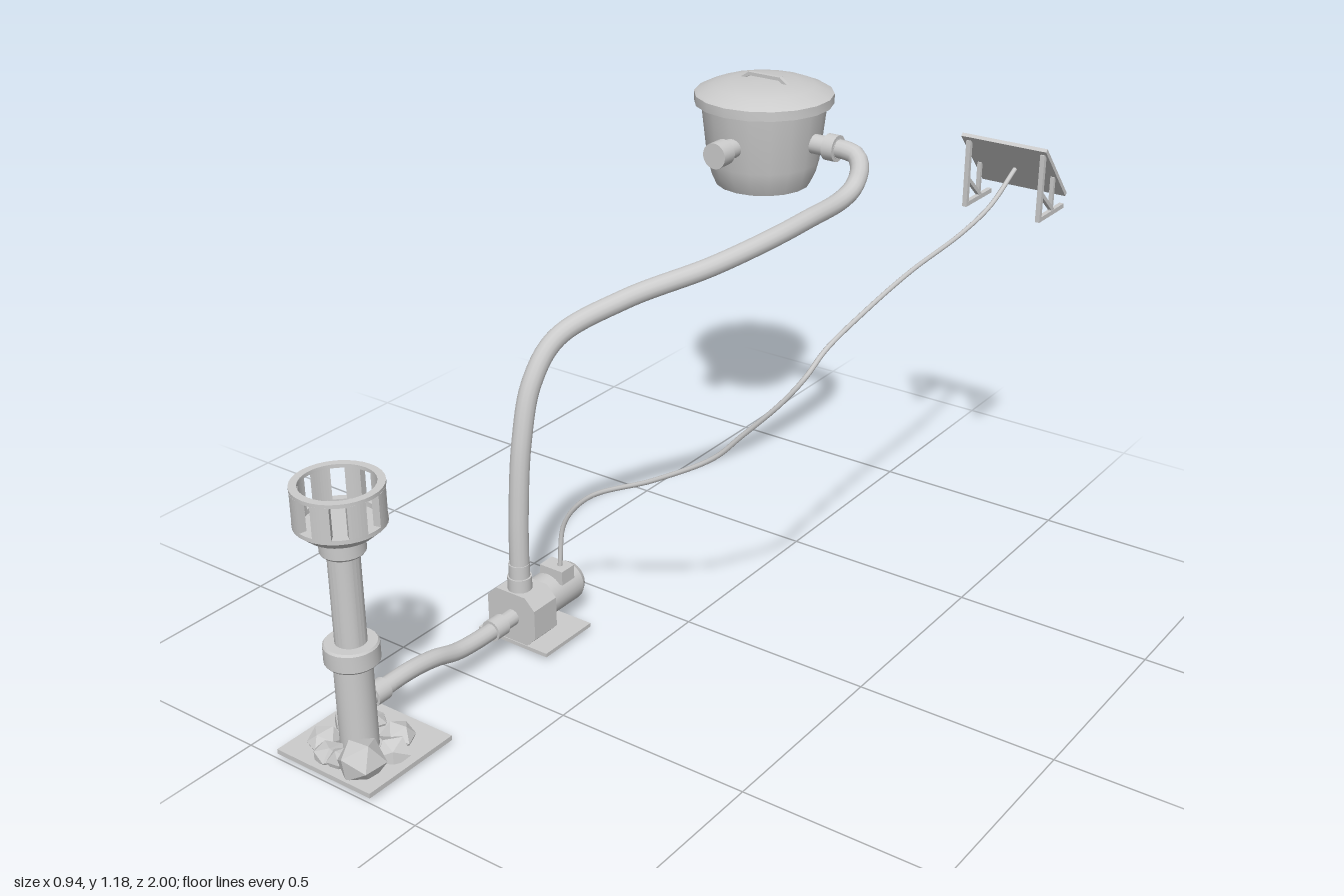
import * as THREE from 'three';
import { toCreasedNormals } from 'three/addons/utils/BufferGeometryUtils.js';

const V = (x, y, z) => new THREE.Vector3(x, y, z);

export function createModel() {
  const model = new THREE.Group();
  const grey = new THREE.MeshStandardMaterial({ color: 0xcccccc });
  const faceted = new THREE.MeshStandardMaterial({ color: 0xcccccc, flatShading: true });

  const add = (name, geo, pos = [0, 0, 0], parent = model, mat = grey) => {
    const mesh = new THREE.Mesh(geo, mat);
    mesh.name = name;
    mesh.position.set(...pos);
    parent.add(mesh);
    return mesh;
  };
  const box = (name, x0, x1, y0, y1, z0, z1, parent) =>
    add(name, new THREE.BoxGeometry(x1 - x0, y1 - y0, z1 - z0),
      [(x0 + x1) / 2, (y0 + y1) / 2, (z0 + z1) / 2], parent);
  const lathe = (name, pts, pos, parent, sides = 24) =>
    add(name, toCreasedNormals(new THREE.LatheGeometry(pts.map(p => new THREE.Vector2(...p)), sides), 0.5), pos, parent);
  // Straight round bar between two points
  const rod = (name, a, b, r, parent, sides = 24) => {
    const mesh = add(name, new THREE.CylinderGeometry(r, r, a.distanceTo(b), sides),
      a.clone().lerp(b, 0.5).toArray(), parent);
    mesh.quaternion.setFromUnitVectors(V(0, 1, 0), b.clone().sub(a).normalize());
    return mesh;
  };
  const hose = (name, pts, r, segs, sides = 14) =>
    add(name, new THREE.TubeGeometry(new THREE.CatmullRomCurve3(pts.map(p => V(...p))), segs, r, sides));
  // Bar with square section in the yz plane
  const bar = (name, x, a, b, t, parent) => {
    const dy = b[0] - a[0], dz = b[1] - a[1];
    const mesh = add(name, new THREE.BoxGeometry(t, t, Math.hypot(dy, dz)),
      [x, (a[0] + b[0]) / 2, (a[1] + b[1]) / 2], parent);
    mesh.rotation.x = -Math.atan2(dy, dz);
  };
  const group = name => {
    const g = new THREE.Group();
    g.name = name;
    model.add(g);
    return g;
  };

  // Intake column: lower pipe, collar, upper pipe, neck
  const cx = -0.279, cz = 0.876;
  const column = group('intakeColumn');
  box('intakeBase', -0.416, -0.134, 0.012, 0.024, 0.732, 0.997, column);
  lathe('columnPipe', [
    [0, 0.02], [0.044, 0.02], [0.044, 0.246], [0.059, 0.246], [0.063, 0.251], [0.063, 0.292],
    [0.059, 0.297], [0.036, 0.297], [0.036, 0.52], [0.047, 0.52], [0.051, 0.525], [0.051, 0.572], [0, 0.572],
  ], [cx, 0, cz], column);

  // Slotted intake head: bowl, eight wall sections, top ring
  lathe('headBowl', [[0, 0.57], [0.077, 0.57], [0.102, 0.592], [0.102, 0.602], [0.084, 0.602], [0.084, 0.59], [0, 0.59]],
    [cx, 0, cz], column, 32);
  lathe('headRing', [[0.084, 0.677], [0.102, 0.677], [0.102, 0.686], [0.084, 0.686], [0.084, 0.677]],
    [cx, 0, cz], column, 32);
  for (let i = 0; i < 8; i++) {
    const mid = (i + 0.5) * Math.PI / 4, h = 0.21;
    const wall = new THREE.Shape();
    wall.absarc(0, 0, 0.102, mid - h, mid + h, false);
    wall.absarc(0, 0, 0.084, mid + h, mid - h, true);
    wall.closePath();
    const geo = new THREE.ExtrudeGeometry(wall, { depth: 0.077, bevelEnabled: false, curveSegments: 3 });
    geo.rotateX(-Math.PI / 2);
    add('headWall', geo, [cx, 0.601, cz], column);
  }

  // Loose rocks round the foot: x, y, z, radius, height scale
  const rocks = group('rocks');
  [[-0.212, 0.047, 0.945, 0.056, 1], [-0.35, 0.028, 0.915, 0.042, 0.7], [-0.305, 0.03, 0.95, 0.042, 0.8],
    [-0.19, 0.036, 0.862, 0.04, 0.9], [-0.345, 0.035, 0.835, 0.04, 0.9], [-0.225, 0.032, 0.805, 0.042, 0.8],
    [-0.26, 0.035, 0.95, 0.032, 1], [-0.31, 0.03, 0.795, 0.03, 0.9]].forEach(([x, y, z, r, s], i) => {
    const rock = add('rock', new THREE.IcosahedronGeometry(r, 0), [x, y, z], rocks, faceted);
    const p = rock.geometry.attributes.position;
    for (let k = 0; k < p.count; k++) {
      const n = 1 + 0.15 * Math.sin(p.getX(k) * 90 + p.getY(k) * 130 + p.getZ(k) * 70 + i * 2);
      p.setXYZ(k, p.getX(k) * n, Math.max(p.getY(k) * n * s, -y + 0.002), p.getZ(k) * n);
    }
    rock.geometry.rotateY(i * 1.3);
    rock.geometry.computeVertexNormals();
  });

  // Suction hose from column to pump
  rod('columnOutlet', V(cx, 0.128, 0.86), V(cx, 0.128, 0.77), 0.021);
  rod('outletCollar', V(cx, 0.128, 0.83), V(cx, 0.128, 0.79), 0.027);
  hose('suctionHose', [[cx, 0.128, 0.8], [cx, 0.128, 0.7], [cx, 0.117, 0.62], [cx, 0.097, 0.55],
    [cx, 0.09, 0.48], [cx, 0.09, 0.34]], 0.021, 40);
  rod('inletCollar', V(cx, 0.09, 0.425), V(cx, 0.09, 0.385), 0.027);

  // Pump: base, chamfered housing, motor, terminal box
  const pump = group('pump');
  box('pumpBase', -0.388, -0.174, 0.014, 0.024, 0.175, 0.347, pump);
  const w = 0.073, b = -0.068, t = 0.066, c = 0.028;
  const outline = [[-w + c, b], [w - c, b], [w, b + c], [w, t - c], [w - c, t], [-w + c, t], [-w, t - c], [-w, b + c]];
  add('pumpHousing', new THREE.ExtrudeGeometry(
    new THREE.Shape(outline.map(p => new THREE.Vector2(...p))), { depth: 0.083, bevelEnabled: false }),
  [-0.282, 0.09, 0.262], pump);
  const motor = lathe('motor', [[0, 0], [0.052, 0], [0.052, 0.135], [0.043, 0.151], [0, 0.151]], [-0.282, 0.09, 0.263], pump);
  motor.rotation.x = -Math.PI / 2;
  box('terminalBox', -0.305, -0.235, 0.125, 0.162, 0.158, 0.205, pump);

  // Delivery pipe from pump to tank
  rod('pumpOutlet', V(-0.28, 0.14, 0.311), V(-0.28, 0.225, 0.311), 0.026);
  rod('pumpOutletCollar', V(-0.28, 0.15, 0.311), V(-0.28, 0.19, 0.311), 0.03);
  hose('deliveryPipe', [[-0.28, 0.16, 0.311], [-0.28, 0.35, 0.305], [-0.28, 0.54, 0.283], [-0.279, 0.676, 0.24],
    [-0.262, 0.767, 0.166], [-0.18, 0.832, 0.01], [-0.06, 0.883, -0.17], [0, 0.915, -0.34], [0.017, 0.928, -0.48],
    [0.02, 0.935, -0.64], [0.02, 0.955, -0.7], [0.015, 0.99, -0.732], [-0.005, 1.017, -0.747],
    [-0.04, 1.025, -0.75], [-0.09, 1.025, -0.75]], 0.0245, 110);

  // Tank with lid, handle and two fittings
  const tx = -0.289, tz = -0.746;
  const tank = group('tank');
  lathe('tankBody', [[0, 0.895], [0.126, 0.895], [0.14, 0.925], [0.149, 0.96], [0.167, 1.118]], [tx, 0, tz], tank, 18);
  lathe('lid', [[0, 1.113], [0.184, 1.113], [0.184, 1.138], [0.176, 1.143], [0.135, 1.16], [0.09, 1.169], [0, 1.172]],
    [tx, 0, tz], tank, 18);
  const grip = [[-0.07, 1.164], [-0.045, 1.181], [0.049, 1.181], [0.074, 1.164]];
  for (let i = 0; i < 3; i++) {
    const [x0, y0] = grip[i], [x1, y1] = grip[i + 1];
    const part = add('lidHandle', new THREE.BoxGeometry(Math.hypot(x1 - x0, y1 - y0) + 0.004, 0.009, 0.012),
      [tx + (x0 + x1) / 2, (y0 + y1) / 2, tz], tank);
    part.rotation.z = Math.atan2(y1 - y0, x1 - x0);
  }
  rod('sideFitting', V(-0.15, 1.025, -0.75), V(-0.06, 1.025, -0.75), 0.026, tank);
  rod('sideCollar', V(-0.093, 1.025, -0.75), V(-0.061, 1.025, -0.75), 0.035, tank);
  rod('frontFitting', V(-0.284, 1.026, -0.61), V(-0.284, 1.026, -0.54), 0.026, tank);
  rod('frontCap', V(-0.284, 1.026, -0.555), V(-0.284, 1.026, -0.51), 0.034, tank);

  // Solar panel on two braced frames, tilted towards the back
  const solar = group('solarPanel');
  const panel = add('panel', new THREE.BoxGeometry(0.235, 0.01, 0.204), [0.3515, 1.014, -0.928], solar);
  panel.rotation.x = -Math.atan2(0.151, 0.136);
  for (const x of [0.252, 0.457]) {
    bar('frontPost', x, [0.9, -0.868], [1.075, -0.868], 0.012, solar);
    bar('footRail', x, [0.906, -0.862], [0.906, -1], 0.012, solar);
    bar('brace', x, [0.975, -0.868], [0.908, -0.945], 0.01, solar);
    bar('midPost', x, [0.906, -0.935], [1.0, -0.935], 0.01, solar);
  }

  // Power cable from motor to panel
  hose('powerCable', [[-0.262, 0.155, 0.18], [-0.25, 0.28, 0.172], [-0.184, 0.366, 0.16], [0, 0.46, 0.135],
    [0.146, 0.548, 0.105], [0.209, 0.614, 0.09], [0.303, 0.717, 0.065], [0.345, 0.78, 0.035], [0.357, 0.825, -0.02],
    [0.358, 0.865, -0.2], [0.358, 0.895, -0.4], [0.358, 0.915, -0.65], [0.358, 0.945, -0.8], [0.358, 1.005, -0.92]],
  0.006, 100, 8);

  return model;
}
